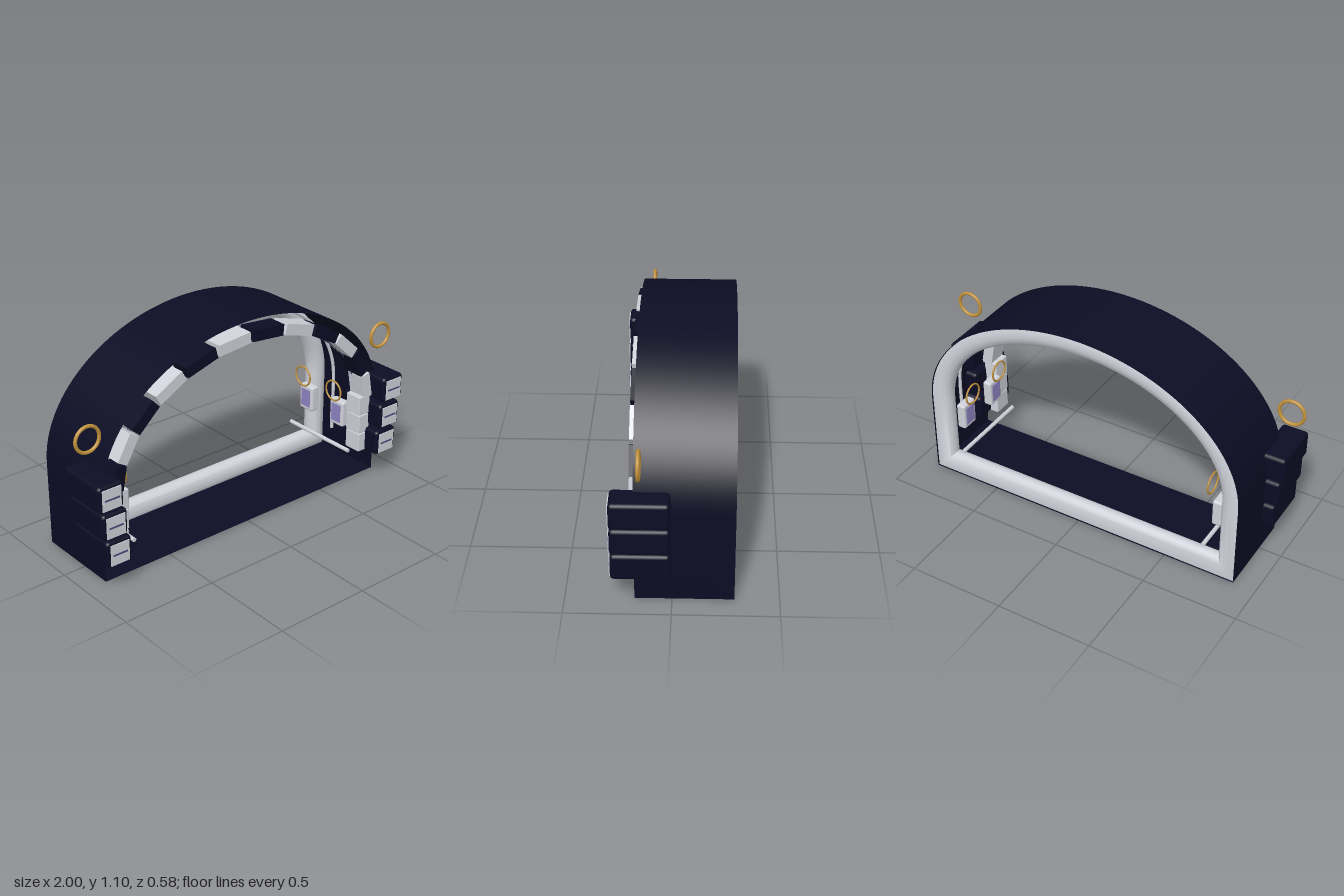
import * as THREE from 'three';
import { toCreasedNormals } from 'three/addons/utils/BufferGeometryUtils.js';
import { RoundedBoxGeometry } from 'three/addons/geometries/RoundedBoxGeometry.js';

const SPRING = 0.45, HALF = 0.88, RISE = 0.65, FRONT = 0.175, BACK = -0.29;

// Arch outline moved inwards by d: right foot, over the top, left foot
function archPath(d) {
  const pts = [[HALF - d, d]];
  for (let i = 0; i <= 64; i++) {
    const a = Math.PI * i / 64;
    pts.push([(HALF - d) * Math.cos(a), SPRING + (RISE - d) * Math.sin(a)]);
  }
  pts.push([-(HALF - d), d]);
  return pts;
}

// Sweep a section of [inset, z] points along the arch outline
function sweep(section, closed) {
  const paths = section.map(([d]) => archPath(d));
  const n = paths[0].length, m = section.length, pos = [], idx = [];
  for (let i = 0; i < n; i++)
    for (let j = 0; j < m; j++) pos.push(...paths[j][i], section[j][1]);
  for (let i = 0; i < (closed ? n : n - 1); i++)
    for (let j = 0; j < (closed ? m : m - 1); j++) {
      const i2 = (i + 1) % n, j2 = (j + 1) % m;
      const a = i * m + j, b = i2 * m + j, c = i2 * m + j2, e = i * m + j2;
      idx.push(a, b, c, a, c, e);
    }
  const g = new THREE.BufferGeometry();
  g.setAttribute('position', new THREE.Float32BufferAttribute(pos, 3));
  g.setIndex(idx);
  return toCreasedNormals(g, 0.9);
}

// Thin tube along an elliptical arch
function archTube(a, b, z, r) {
  const pts = [new THREE.Vector3(a, 0.15, z), new THREE.Vector3(a, 0.3, z)];
  for (let i = 0; i <= 24; i++) {
    const t = Math.PI * i / 24;
    pts.push(new THREE.Vector3(a * Math.cos(t), SPRING + b * Math.sin(t), z));
  }
  pts.push(new THREE.Vector3(-a, 0.3, z), new THREE.Vector3(-a, 0.15, z));
  return new THREE.TubeGeometry(new THREE.CatmullRomCurve3(pts), 96, r, 8);
}

export function createModel() {
  const mat = (name, color, side = THREE.FrontSide) => {
    const m = new THREE.MeshStandardMaterial({ color, side });
    m.name = name;
    return m;
  };
  const navy = mat('navy', 0x0c0c24, THREE.DoubleSide);
  const white = mat('pale grey', 0xd0d2da);
  const gold = mat('gold', 0xc0913c);
  const lilac = mat('lilac', 0x8f84c4);
  const slate = mat('slate violet', 0x4c4878);

  const group = new THREE.Group();
  const add = (name, geo, material, x = 0, y = 0, z = 0) => {
    const mesh = new THREE.Mesh(geo, material);
    mesh.name = name;
    mesh.position.set(x, y, z);
    group.add(mesh);
    return mesh;
  };
  const box = (w, h, d) => new THREE.BoxGeometry(w, h, d);

  // Thin tunnel shell and floor
  add('tunnelShell', sweep([[0, BACK], [0, FRONT]], false), navy);
  add('tunnelFloor', new THREE.PlaneGeometry(2 * HALF, FRONT - BACK), navy,
    0, 0.001, (FRONT + BACK) / 2).rotation.x = -Math.PI / 2;

  // Rounded frame closing the rear edge
  add('rearFrame', sweep([
    [0.003, -0.284], [0.003, -0.21], [0.02, -0.197], [0.05, -0.19], [0.08, -0.2],
    [0.096, -0.22], [0.1, -0.24], [0.096, -0.262], [0.08, -0.28], [0.05, -0.289], [0.02, -0.288],
  ], true), white);

  // Trim tubes inside the tunnel
  add('frontTrim', archTube(0.785, 0.54, 0.12, 0.009), slate);
  add('rearTrim', archTube(0.84, 0.61, -0.1, 0.009), white);

  // Alternating arch stones
  for (let i = 0; i < 12; i++) {
    const t = Math.PI * (i + 0.5) / 12;
    const dx = -0.8 * Math.sin(t), dy = 0.57 * Math.cos(t);
    const length = Math.hypot(dx, dy) * Math.PI / 12 * 0.92;
    add('archStone', box(length, 0.058, 0.1), i % 2 ? navy : white,
      0.8 * Math.cos(t), SPRING + 0.57 * Math.sin(t), 0.147).rotation.z = Math.atan2(dy, dx) + Math.PI;
  }

  for (const s of [1, -1]) {
    for (let k = 0; k < 3; k++) {
      // Stepped side boxes with a face plate and slot
      const x = s * (0.868 + 0.017 * k), y = 0.2125 + 0.15 * k;
      add('sideBox', new RoundedBoxGeometry(0.14, 0.136, 0.278, 2, 0.018), navy, x, y, 0.144);
      add('facePlate', box(0.104, 0.108, 0.006), white, x, y - 0.002, 0.2845);
      add('plateSlot', box(0.08, 0.008, 0.004), slate, x, y - 0.002, 0.2885);
      // Pier blocks below the arch
      add('pierBlock', new RoundedBoxGeometry(0.076, 0.106, 0.1, 1, 0.006), white,
        s * (0.79 - 0.003 * k), 0.2 + 0.108 * k, 0.148);
    }
    // Outer ring
    add('outerRing', new THREE.TorusGeometry(0.065, 0.009, 12, 40), gold, s * 0.926, 0.763, 0.145);
    // Wall panels with a ring above each
    for (const z of [0.05, -0.187]) {
      add('wallPanel', new RoundedBoxGeometry(0.05, 0.145, 0.1, 2, 0.012), white, s * 0.745, 0.337, z);
      add('panelScreen', box(0.005, 0.1, 0.066), lilac, s * 0.7195, 0.337, z);
      add('wallRing', new THREE.TorusGeometry(0.055, 0.005, 8, 32), gold,
        s * 0.695, 0.475, z).rotation.y = Math.PI / 2;
    }
    // Low rail along the wall
    add('lowRail', new THREE.CylinderGeometry(0.011, 0.011, FRONT - BACK - 0.01, 10), white,
      s * 0.705, 0.16, (FRONT + BACK) / 2).rotation.x = Math.PI / 2;
  }
  return group;
}
